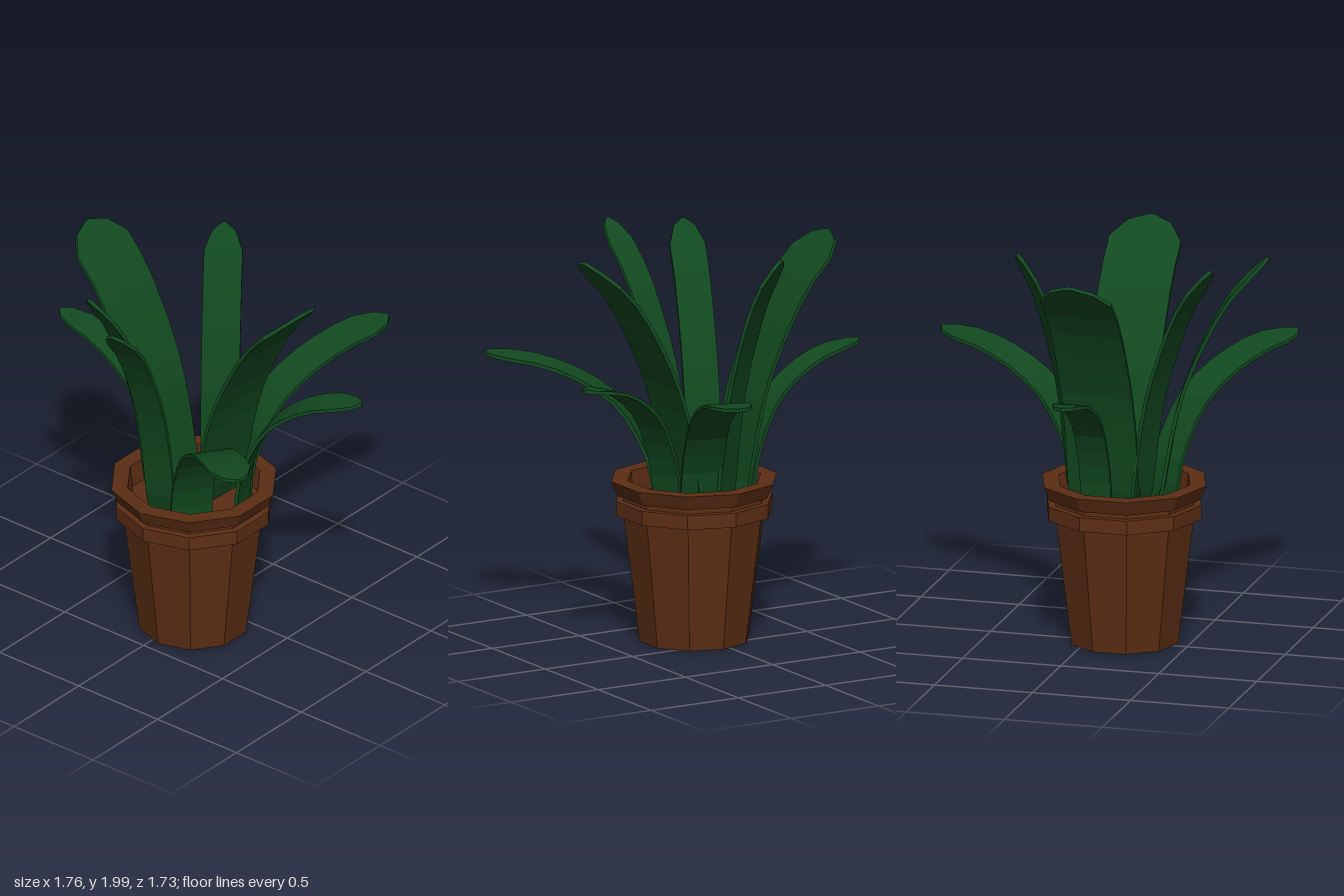
import * as THREE from 'three';

const green = new THREE.MeshStandardMaterial({ color: 0x124a20, flatShading: true });
const brown = new THREE.MeshStandardMaterial({ color: 0x5c2e14, flatShading: true });

// Bend of a leaf: [share of its outward reach, height]
const TALL = [[0, 0.68], [0.07, 0.81], [0.125, 1.0], [0.235, 1.27], [0.42, 1.53], [0.67, 1.78], [1, 1.98]];
const LOW = [[0, 0.68], [0.015, 0.82], [0.06, 0.95], [0.22, 1.17], [0.41, 1.285], [0.67, 1.37], [1, 1.41]];

// Strip of constant width and thickness, swept along the bend and ending in a blunt point
function leafGeometry(base, tip, width, bend) {
  const [dx, dz] = [tip[0] - base[0], tip[1] - base[1]];
  const curve = new THREE.CatmullRomCurve3(
    bend.map(([h, y]) => new THREE.Vector3(base[0] + dx * h, y, base[1] + dz * h)));
  const side = new THREE.Vector3(-dz, 0, dx).normalize();
  const length = curve.getLength();
  const tipLength = 0.14;
  const body = 10;
  const rows = [];
  for (let i = 0; i <= body; i++) rows.push([(i / body) * (1 - tipLength / length), 1]);
  rows.push([1 - 0.04 / length, 0.6], [1, 0.08]);

  const positions = [];
  const index = [];
  rows.forEach(([t, w], i) => {
    const p = curve.getPointAt(t);
    const normal = curve.getTangentAt(t).cross(side).normalize();
    for (const [s, n] of [[1, 1], [-1, 1], [-1, -1], [1, -1]]) {
      const v = p.clone().addScaledVector(side, s * w * width / 2).addScaledVector(normal, n * 0.009);
      positions.push(v.x, v.y, v.z);
    }
    if (i === 0) return;
    for (let k = 0; k < 4; k++) {
      const a = (i - 1) * 4 + k, b = (i - 1) * 4 + (k + 1) % 4;
      index.push(a, b, b + 4, a, b + 4, a + 4);
    }
  });
  const e = (rows.length - 1) * 4;
  index.push(e, e + 1, e + 2, e, e + 2, e + 3, 0, 2, 1, 0, 3, 2);
  const geometry = new THREE.BufferGeometry();
  geometry.setAttribute('position', new THREE.Float32BufferAttribute(positions, 3));
  geometry.setIndex(index);
  geometry.computeVertexNormals();
  return geometry;
}

export function createModel() {
  const model = new THREE.Group();
  model.name = 'pottedPlant';

  // Ten-sided pot: tapered wall, raised band, groove and flared rim
  const profile = [[0, 0], [0.275, 0], [0.355, 0.64], [0.393, 0.64], [0.393, 0.712], [0.357, 0.712],
    [0.357, 0.74], [0.387, 0.74], [0.417, 0.812], [0.335, 0.812], [0.32, 0.69]];
  const pot = new THREE.Mesh(
    new THREE.LatheGeometry(profile.map(([r, y]) => new THREE.Vector2(r, y)), 10, Math.PI / 2), brown);
  pot.name = 'pot';
  pot.position.set(-0.167, 0, 0.045);
  model.add(pot);

  // Soil inside the rim
  const soil = new THREE.Mesh(new THREE.CylinderGeometry(0.325, 0.31, 0.06, 10, 1, false, Math.PI / 2), brown);
  soil.name = 'soil';
  soil.position.set(-0.167, 0.67, 0.045);
  model.add(soil);

  // Leaves: name, base [x, z], tip [x, z], width, bend
  const leaves = [
    ['broadBackLeaf', [-0.12, -0.1], [-0.1, -0.69], 0.365, TALL],
    ['broadFrontLeaf', [-0.095, 0.11], [-0.12, 0.7], 0.37, TALL],
    ['tallRightLeaf', [-0.34, 0.0], [-0.88, 0.115], 0.155, TALL],
    ['tallBackRightLeaf', [-0.27, -0.085], [-0.68, -0.2], 0.18, TALL],
    ['tallLeftLeaf', [0.06, 0.02], [0.32, -0.16], 0.19, TALL],
    ['lowBackLeaf', [-0.1, -0.21], [-0.1, -0.86], 0.155, LOW],
    ['lowLeftLeaf', [0.06, 0.145], [0.87, 0.425], 0.205, LOW],
    ['lowFrontRightLeaf', [-0.335, 0.165], [-0.815, 0.855], 0.21, LOW],
    ['lowFrontLeaf', [-0.06, 0.26], [0.14, 0.86], 0.175, LOW],
  ];
  for (const [name, base, tip, width, bend] of leaves) {
    const leaf = new THREE.Mesh(leafGeometry(base, tip, width, bend), green);
    leaf.name = name;
    model.add(leaf);
  }
  return model;
}
